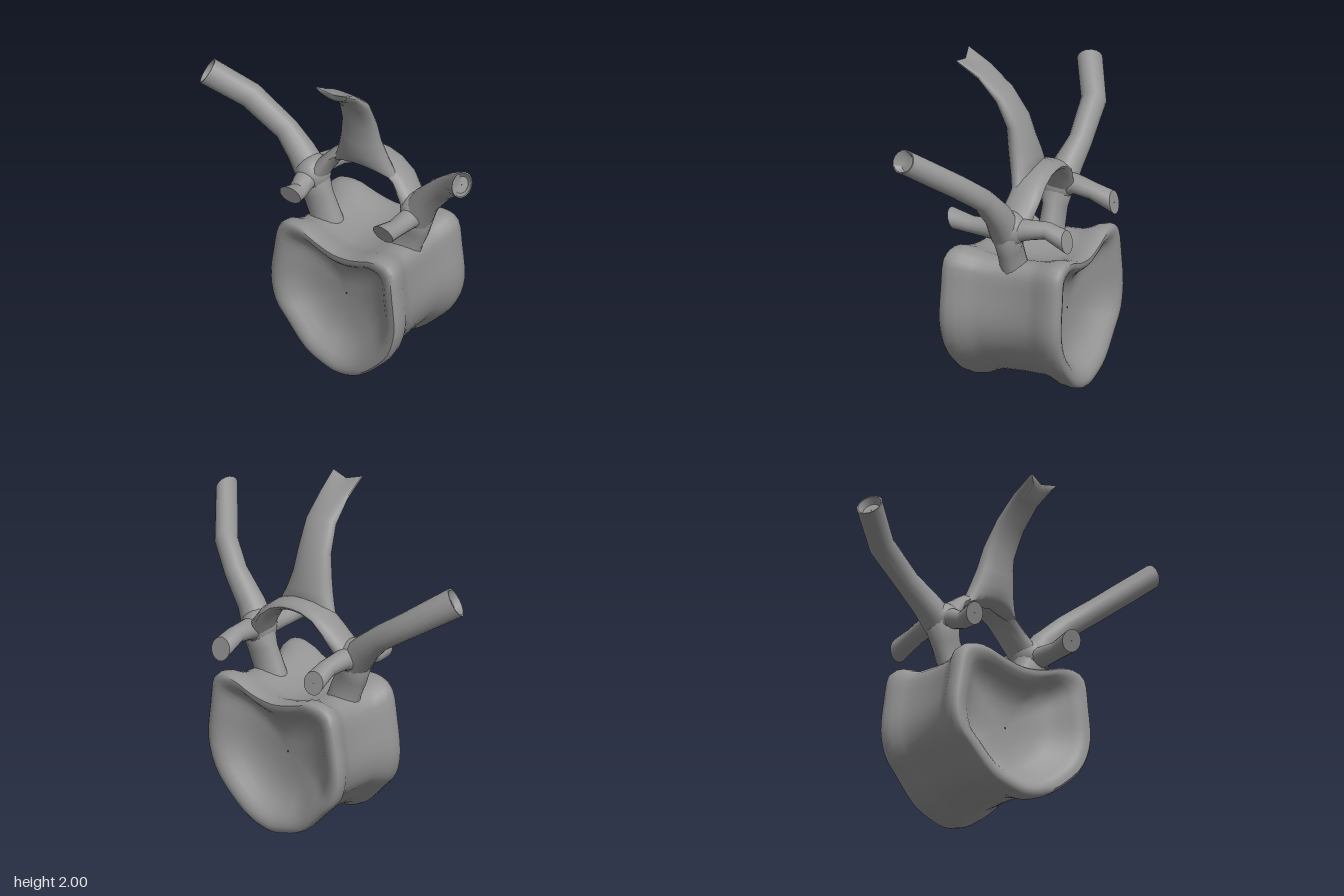
import * as THREE from 'three';
import { toCreasedNormals } from 'three/addons/utils/BufferGeometryUtils.js';

const V = (x, y, z) => new THREE.Vector3(x, y, z);
const Y = V(0, 1, 0);
// The bone is turned about y: W runs across it, F runs to its front
const W = V(0.94, 0, 0.342).normalize();
const F = V(-0.342, 0, 0.94).normalize();
const C = V(0.125, 0, -0.13);
const at = (w, y, f) => C.clone().addScaledVector(W, w).addScaledVector(F, f).setY(y);

const material = new THREE.MeshStandardMaterial({ color: 0x949494 });

// Skin closed rings of equal point count
function loft(name, rings) {
  const n = rings[0].length, pos = [], idx = [];
  rings.forEach(r => r.forEach(p => pos.push(p.x, p.y, p.z)));
  for (let i = 0; i < rings.length - 1; i++) {
    for (let j = 0; j < n; j++) {
      const a = i * n + j, d = i * n + (j + 1) % n;
      idx.push(a, a + n, d + n, a, d + n, d);
    }
  }
  const g = new THREE.BufferGeometry();
  g.setAttribute('position', new THREE.Float32BufferAttribute(pos, 3));
  g.setIndex(idx);
  const mesh = new THREE.Mesh(toCreasedNormals(g, 0.85), material);
  mesh.name = name;
  return mesh;
}

const shrink = (ring, s, offset = V(0, 0, 0)) => {
  const c = ring.reduce((m, p) => m.add(p), V(0, 0, 0)).divideScalar(ring.length);
  return ring.map(p => p.clone().sub(c).multiplyScalar(s).add(c).add(offset));
};

// Limb along a path; sizes are [half width along side, half thickness, bend, notch]
function limb(name, path, sizes, side, { cut = V(0, 0, 0), cup = 0, n = 16 } = {}) {
  const last = path.length - 1;
  let T;
  const rings = path.map((p, i) => {
    const before = p.clone().sub(path[Math.max(i - 1, 0)]).normalize();
    const after = path[Math.min(i + 1, last)].clone().sub(p).normalize();
    T = before.add(after).normalize();
    const S = side.clone().addScaledVector(T, -side.dot(T)).normalize();
    const U = S.clone().cross(T);
    const [a, b, bend = 0, notch = 0] = sizes[i];
    return Array.from({ length: n }, (_, j) => {
      const t = j / n * Math.PI * 2, c = Math.cos(t), s = Math.sin(t);
      const q = p.clone().addScaledVector(S, a * c).addScaledVector(U, b * s - bend * c * c);
      q.addScaledVector(T, -notch * (1 - c * c));
      if (i === last) q.addScaledVector(T, cut.dot(q.clone().sub(p)));
      return q;
    });
  });
  const end = rings[last];
  const sink = T.clone().multiplyScalar(-cup);
  const tip = cup ? [shrink(end, 0.9), shrink(end, 0.65, sink)] : [];
  return loft(name, [shrink(rings[0], 0.02), ...rings, ...tip, shrink(end, 0.02, sink)]);
}

// Spool-shaped body with a broad rim and a hollow at both ends
function makeBody() {
  const rim = [[0, 0.825], [0.3, 0.845], [0.67, 0.905], [0.91, 0.865], [0.965, 0.7], [1, 0.48],
    [0.9, 0.31], [0.64, 0.155], [0.36, 0.05], [0.07, 0.005], [-0.18, 0.02], [-0.45, 0.07],
    [-0.74, 0.205], [-0.93, 0.31], [-0.995, 0.45], [-0.95, 0.64], [-0.86, 0.83], [-0.57, 0.885], [-0.28, 0.85]];
  const outline = new THREE.CatmullRomCurve3(
    rim.reverse().map(([u, y]) => V(u, y - 0.47, 0)), true)
    .getPoints(57).slice(0, 57);
  // Distance from the end and scale, from the floor of the hollow out to the waist
  const profile = [[0.22, 0.01], [0.217, 0.2], [0.2, 0.4], [0.165, 0.56], [0.11, 0.68], [0.05, 0.77],
    [0.012, 0.84], [0, 0.9], [0, 0.96], [0.02, 0.99], [0.07, 1], [0.14, 0.985], [0.22, 0.93], [0.3, 0.895], [0.5, 0.885]];
  const all = [...profile, ...profile.slice(0, -1).reverse().map(([t, s]) => [1 - t, s])];
  const front = V(0.002, 0.47, 0.165), back = V(0.218, 0.47, -0.475);
  const frontSide = V(0.442, 0, 0.24), backSide = V(0.468, 0, 0.17);
  return loft('body', all.map(([t, s]) => {
    const c = front.clone().lerp(back, t), d = frontSide.clone().lerp(backSide, t);
    return outline.map(p => c.clone().addScaledVector(d, p.x * s).addScaledVector(Y, p.y * s));
  }));
}

export function createModel() {
  const g = new THREE.Group();
  g.name = 'vertebra';
  g.add(makeBody());

  for (const s of [1, -1]) {
    const label = s > 0 ? 'left' : 'right';
    const lift = 0.015 * s;
    // Pillar from the body up to the joint
    g.add(limb(label + 'Pedicle',
      [at(s * 0.27, 0.78, 0), at(s * 0.29, 0.86, 0), at(s * 0.335, 0.96, 0), at(s * 0.365, 1.06, 0), at(s * 0.36, 1.14, 0)],
      [[0.09, 0.11], [0.075, 0.1], [0.072, 0.1], [0.1, 0.1], [0.07, 0.07]], F));
    const hub = new THREE.Mesh(new THREE.SphereGeometry(1, 24, 16), material);
    hub.name = label + 'Joint';
    hub.scale.set(0.1, 0.11, 0.115);
    hub.rotation.y = -0.35;
    hub.position.copy(at(s * 0.365, 1.09, 0));
    g.add(hub);
    // Joint prongs to the front and back, with slanted ends
    const reach = 0.3 + 0.045 * s;
    g.add(limb(label + 'FrontProng',
      [at(s * 0.37, 1.08, 0), at(s * 0.365, 1.075, 0.1), at(s * 0.36, 1.06 + lift, reach * 0.66), at(s * 0.355, 1.08 + lift, reach)],
      [[0.08, 0.08], [0.06, 0.065], [0.05, 0.058], [0.058, 0.07]], Y, { cut: V(0, 0.6, 0) }));
    g.add(limb(label + 'BackProng',
      [at(s * 0.37, 1.08, 0), at(s * 0.36, 1.1, -0.12), at(s * 0.345, 1.095 + lift, -0.24), at(s * 0.35, 1.045 + lift, -0.365)],
      [[0.08, 0.08], [0.06, 0.065], [0.05, 0.06], [0.058, 0.07]], Y, { cut: V(0, -0.75, 0) }));
  }

  // Side processes, sweeping up and out
  g.add(limb('leftSideProcess',
    [V(0.465, 1.06, 0), V(0.535, 1.2, 0.05), V(0.66, 1.35, 0.13), V(0.77, 1.48, 0.27), V(0.88, 1.68, 0.58)],
    [[0.1, 0.1], [0.085, 0.08], [0.07, 0.068], [0.068, 0.072], [0.06, 0.078]], W, { cup: 0.04, cut: V(-0.6, 0, 0) }));
  g.add(limb('rightSideProcess',
    [V(-0.22, 1.07, -0.26), V(-0.31, 1.18, -0.32), V(-0.41, 1.275, -0.38), V(-0.64, 1.43, -0.445), V(-0.89, 1.58, -0.41)],
    [[0.1, 0.1], [0.085, 0.085], [0.07, 0.075], [0.075, 0.08], [0.075, 0.09]], F, { cup: 0.04 }));

  // Arch bridging the two joints
  const arch = [[0.37, 1.05, 0], [0.295, 1.155, -0.03], [0.23, 1.24, -0.05], [0.155, 1.3, -0.05], [0.07, 1.33, -0.05], [0, 1.335, -0.05]];
  const archSizes = [[0.1, 0.07], [0.1, 0.05], [0.1, 0.04], [0.1, 0.035], [0.1, 0.033], [0.1, 0.033]];
  g.add(limb('arch',
    [...arch.map(([w, y, f]) => at(w, y, f)), ...arch.slice(0, -1).reverse().map(([w, y, f]) => at(-w, y, f))],
    [...archSizes, ...archSizes.slice(0, -1).reverse()], F));

  // Spine blade, straddling the arch and curling forward to a forked tip
  g.add(limb('spine',
    [V(0.13, 1.25, -0.115), V(0.126, 1.32, -0.105), V(0.12, 1.4, -0.09), V(0.115, 1.49, -0.07), V(0.112, 1.62, -0.045),
      V(0.1, 1.78, 0.035), V(0.06, 1.895, 0.155), V(0.02, 1.97, 0.295)],
    [[0.225, 0.06, 0, -0.075], [0.19, 0.072, 0, -0.03], [0.16, 0.078], [0.135, 0.072], [0.115, 0.06],
      [0.105, 0.045], [0.1, 0.03, 0.012], [0.106, 0.02, 0.03, 0.06]],
    W, { n: 24 }));

  return g;
}
